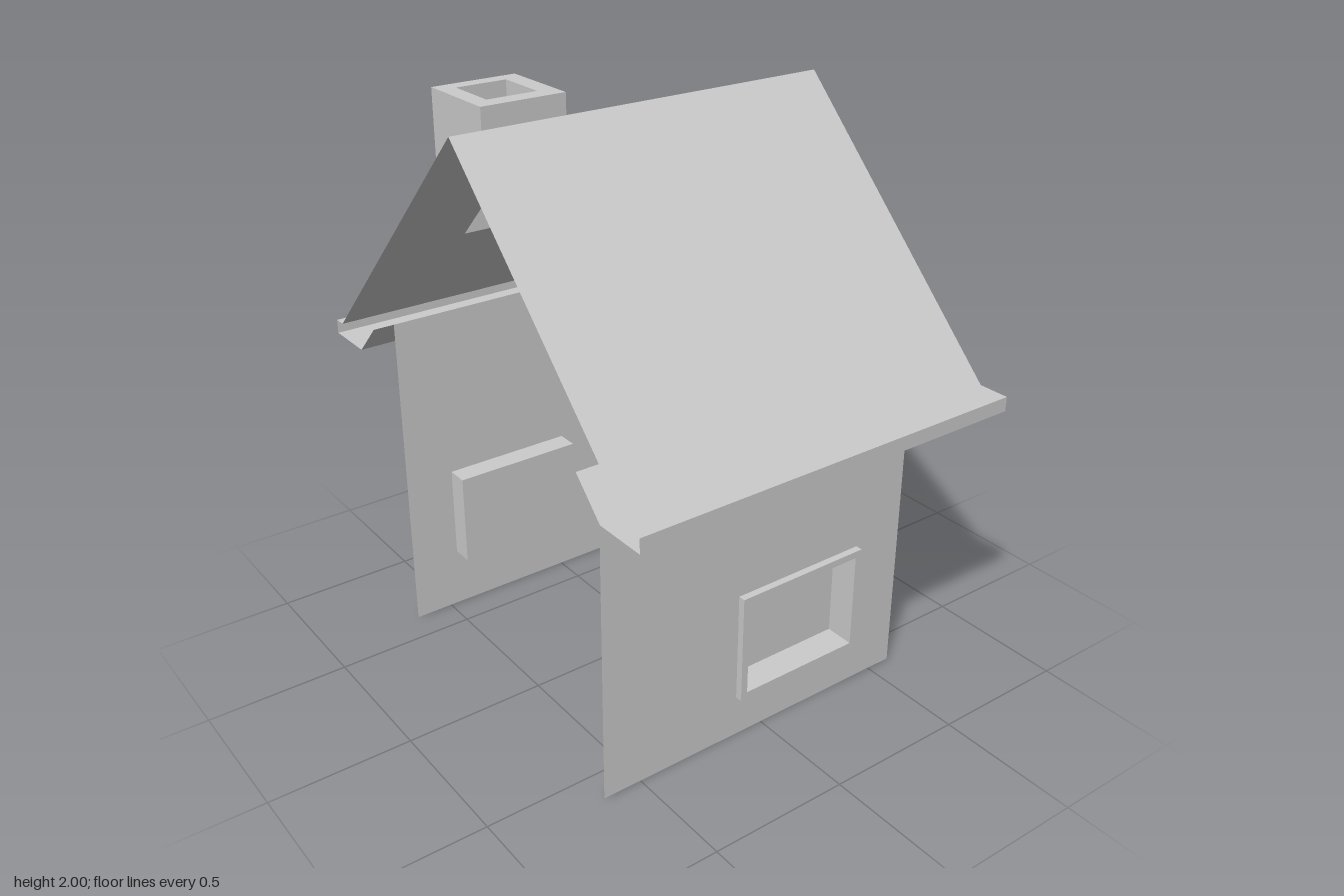
import * as THREE from 'three';

const mat = new THREE.MeshStandardMaterial({ color: 0xcccccc, flatShading: true, side: THREE.DoubleSide });
const FRAME = 0.025, RECESS = 0.08;

function add(parent, name, geometry, x = 0, y = 0, z = 0) {
  const m = new THREE.Mesh(geometry, mat);
  m.name = name;
  m.position.set(x, y, z);
  parent.add(m);
  return m;
}

const poly = (pts) => new THREE.Shape(pts.map(([x, y]) => new THREE.Vector2(x, y)));
const rect = (x0, y0, x1, y1) => poly([[x0, y0], [x1, y0], [x1, y1], [x0, y1]]);
const octagon = (r, cy = 0) => poly(Array.from({ length: 8 }, (_, i) =>
  [r * Math.cos(i * Math.PI / 4), cy + r * Math.sin(i * Math.PI / 4)]));
const slab = (shape, depth) => new THREE.ExtrudeGeometry(shape, { depth, bevelEnabled: false });

// Box without the faces listed (0 +x, 1 -x, 2 top, 3 bottom, 4 +z, 5 -z)
function openBox(w, h, d, removed) {
  const g = new THREE.BoxGeometry(w, h, d);
  g.setIndex(Array.from(g.index.array).filter((_, i) => !removed.includes(Math.floor(i / 6))));
  g.clearGroups();
  return g;
}

// Sheet following a (z, y) profile, drawn out along x
function strip(profile, x0, x1) {
  const g = new THREE.PlaneGeometry(1, 1, 1, profile.length - 1);
  const p = g.attributes.position;
  for (let i = 0; i < p.count; i++) {
    const [z, y] = profile[i >> 1];
    p.setXYZ(i, i % 2 ? x1 : x0, y, z);
  }
  const flat = g.toNonIndexed();
  flat.computeVertexNormals();
  return flat;
}

// Raised frame around a recessed pocket; a door frame has no bottom rail
function opening(wall, name, [x0, y0, x1, y1], isDoor) {
  const t = 0.025, b = isDoor ? y0 : y0 + t;
  let shape;
  if (isDoor) {
    shape = poly([[x0, y0], [x0 + t, y0], [x0 + t, y1 - t], [x1 - t, y1 - t],
      [x1 - t, y0], [x1, y0], [x1, y1], [x0, y1]]);
  } else {
    shape = rect(x0, y0, x1, y1);
    shape.holes.push(rect(x0 + t, b, x1 - t, y1 - t));
  }
  add(wall, name + 'Frame', slab(shape, FRAME));
  add(wall, name + 'Recess', openBox(x1 - x0 - 2 * t, y1 - t - b, RECESS, [4]),
    (x0 + x1) / 2, (b + y1 - t) / 2, -RECESS / 2);
}

const inset = ([x0, y0, x1, y1]) => rect(x0 + 0.025, y0 + 0.025, x1 - 0.025, y1 - 0.025);

function sideWall(house, name, x0, x1, win) {
  const wall = new THREE.Group();
  wall.name = name;
  const shape = rect(x0, 0, x1, 1.195);
  shape.holes.push(inset(win));
  add(wall, name + 'Panel', new THREE.ShapeGeometry(shape));
  opening(wall, name + 'Window', win);
  house.add(wall);
  return wall;
}

export function createModel() {
  const model = new THREE.Group();
  model.name = 'house';
  const house = new THREE.Group();
  house.name = 'houseBody';
  house.position.z = -0.005;
  model.add(house);

  // Long walls, open at the -x end
  sideWall(house, 'frontWall', -0.64, 0.595, [-0.11, 0.15, 0.4, 0.545]).position.z = 0.615;
  const back = sideWall(house, 'backWall', -0.595, 0.64, [-0.045, 0.2, 0.485, 0.59]);
  back.position.z = -0.615;
  back.rotation.y = Math.PI;

  // Gable wall facing +x (local x runs towards -z)
  const gable = new THREE.Group();
  gable.name = 'gableWall';
  gable.position.x = 0.595;
  gable.rotation.y = Math.PI / 2;
  house.add(gable);
  const windows = [[-0.448, 0.72, -0.095, 1.14], [0.105, 0.72, 0.47, 1.14], [0.105, 0.22, 0.47, 0.65]];
  const door = [-0.443, 0, -0.135, 0.65];
  const face = poly([[-0.615, 0], [-0.418, 0], [-0.418, 0.625], [-0.16, 0.625], [-0.16, 0],
    [0.615, 0], [0.615, 1.195], [0, 1.81], [-0.615, 1.195]]);
  windows.forEach((w) => face.holes.push(inset(w)));
  face.holes.push(octagon(0.095, 1.445));
  add(gable, 'gablePanel', new THREE.ShapeGeometry(face));
  windows.forEach((w) => opening(gable, 'gableWindow', w));
  opening(gable, 'door', door, true);

  // Eight-sided attic window with a cross bar
  const attic = octagon(0.117), b = 0.01, r = 0.095, e = r - 0.414 * b, k = r * Math.SQRT1_2;
  for (const sx of [1, -1]) for (const sy of [1, -1]) {
    attic.holes.push(poly([[b, b], [e, b], [k, k], [b, e]].map(([x, y]) => [x * sx, y * sy])));
  }
  add(gable, 'atticWindowFrame', slab(attic, FRAME), 0, 1.445, 0);
  const tube = new THREE.CylinderGeometry(r, r, RECESS, 8, 1, true);
  tube.rotateY(Math.PI / 2).rotateX(Math.PI / 2);
  add(gable, 'atticWindowRecess', tube, 0, 1.445, -RECESS / 2);
  add(gable, 'atticWindowPane', new THREE.CircleGeometry(r, 8), 0, 1.445, -RECESS);

  // Roof slopes, the back one pierced by the flue
  const flue = { x0: -0.415, x1: -0.23, z0: 0.3, z1: 0.49 };
  const stack = { x0: -0.475, x1: -0.165, z0: 0.235, z1: 0.543 };
  for (const s of [1, -1]) {
    const slope = rect(-0.715, 0, 0.67, 0.87);
    if (s < 0) slope.holes.push(rect(flue.x0, flue.z0, flue.x1, flue.z1));
    const g = new THREE.ShapeGeometry(slope);
    const p = g.attributes.position;
    for (let i = 0; i < p.count; i++) p.setXYZ(i, p.getX(i), 2 - p.getY(i), s * p.getY(i));
    if (s < 0) g.setIndex(Array.from(g.index.array).reverse());
    g.computeVertexNormals();
    add(house, 'roofSlope', g);

    // Eave and soffit below each slope
    const eave = [[0.615, 1.195], [0.73, 1.08], [0.915, 1.08], [0.915, 1.13], [0.87, 1.13]];
    add(house, 'eave', strip(eave.map(([z, y]) => [s * z, y]), -0.715, 0.67));
    add(house, 'gableSoffit', strip([[0, 1.81], [s * 0.615, 1.195]], 0.595, 0.67));
  }

  // Gable end of the roof and the trim standing proud of it
  add(gable, 'roofEnd', new THREE.ShapeGeometry(poly([[-0.87, 1.13], [-0.73, 1.13], [0, 1.86],
    [0.73, 1.13], [0.87, 1.13], [0, 2]])), 0, 0, 0.075);
  const half = [[0.73, 1.13], [0.915, 1.13], [0.915, 1.08], [0.73, 1.08]];
  const mirror = half.map(([x, y]) => [-x, y]).reverse();
  add(gable, 'gableTrim', slab(poly([[0, 1.86], ...half, [0, 1.81], ...mirror]), 0.045), 0, 0, 0.075);

  // Chimney: outer and inner shaft cut to the slope, plus a flat rim
  for (const [name, c] of [['chimneyStack', stack], ['chimneyFlue', flue]]) {
    const g = openBox(c.x1 - c.x0, 1, c.z1 - c.z0, [2, 3]);
    g.translate((c.x0 + c.x1) / 2, 0, -(c.z0 + c.z1) / 2);
    const p = g.attributes.position;
    for (let i = 0; i < p.count; i++) p.setY(i, p.getY(i) > 0 ? 2 : 2 + p.getZ(i));
    add(house, name, g);
  }
  const rim = rect(stack.x0, stack.z0, stack.x1, stack.z1);
  rim.holes.push(rect(flue.x0, flue.z0, flue.x1, flue.z1));
  add(house, 'chimneyRim', new THREE.ShapeGeometry(rim).rotateX(-Math.PI / 2), 0, 2, 0);

  return model;
}
